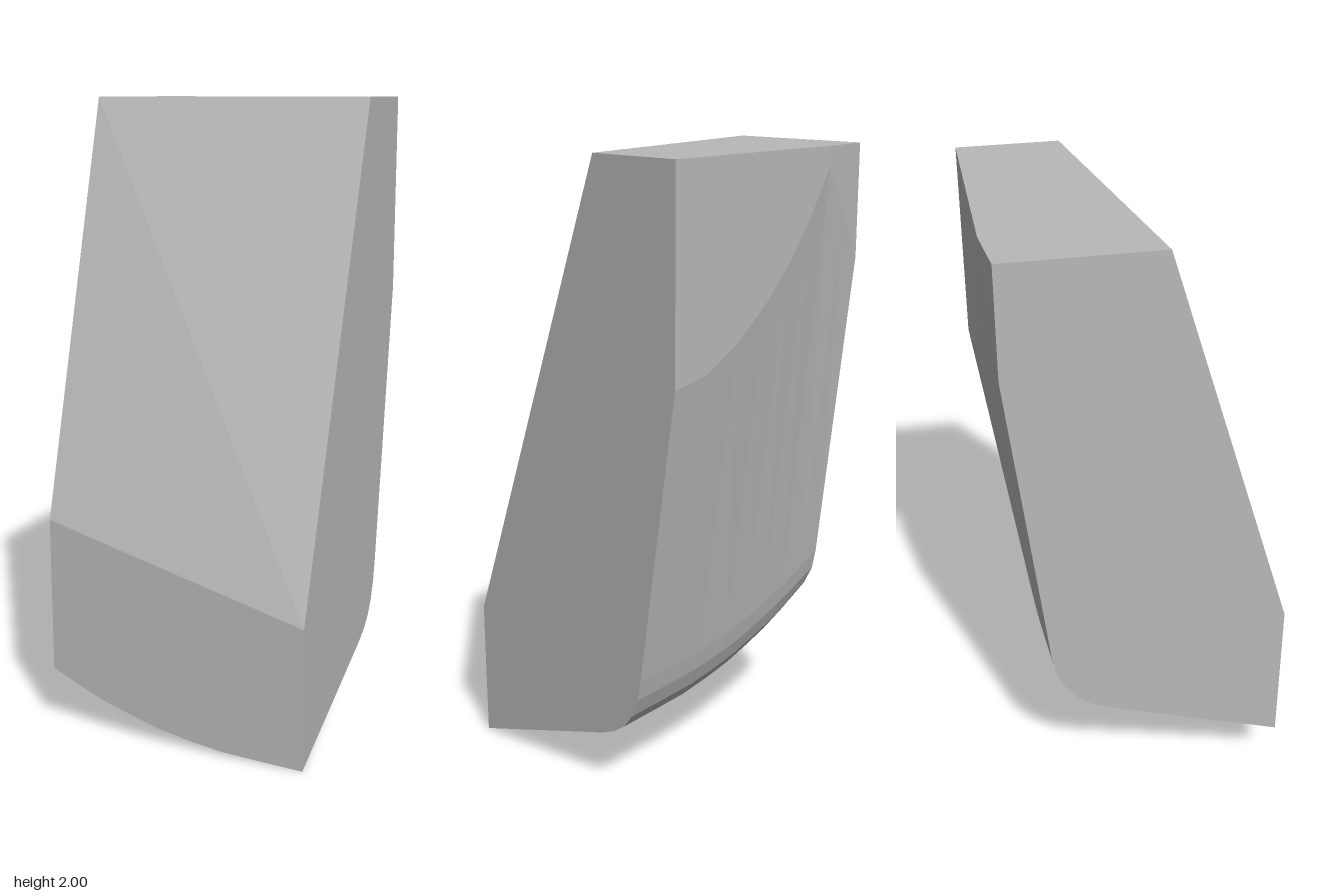
import * as THREE from 'three';

const HALF = 0.425, FRONT = 0.445, TOP = 2;

// Each row: x, bottom front y, back lower z, back bend y, back bend z
const SECTIONS = [
  [-0.425, 0.2, -0.305, 1.65, -0.425],
  [-0.34, 0.158, -0.302, 1.8, -0.435],
  [-0.25, 0.118, -0.3, 1.94, -0.445],
  [-0.154, 0.085, -0.3, 1.78, -0.445],
  [-0.06, 0.056, -0.3, 1.66, -0.445],
  [0.034, 0.036, -0.3, 1.565, -0.445],
  [0.16, 0.016, -0.3, 1.465, -0.445],
  [0.3, 0.008, -0.3, 1.39, -0.445],
  [0.425, 0.002, -0.3, 1.37, -0.445],
];

// Closed side outline at one x, counter-clockwise as seen from +x
function outline([x, yb, zLow, yBend, zBend]) {
  const t = (x + HALF) / (2 * HALF);
  const lerp = THREE.MathUtils.lerp;
  const p = (z, y) => new THREE.Vector3(x, y, z);
  return [
    p(FRONT, yb),
    p(-0.13, yb + 0.197), // rounded heel
    p(-0.185, yb + 0.222),
    p(-0.23, yb + 0.255),
    p(-0.265, yb + 0.302),
    p(zLow + 0.01, yb + 0.365),
    p(zLow - 0.003, yb + 0.43),
    p(zBend, yBend), // back bend
    p(zBend, TOP),
    p(lerp(0.05, -0.125, t), TOP), // top front edge
    p(lerp(0.05, FRONT, t), lerp(TOP, 0.46, t)), // diagonal fold of the slope
    p(FRONT, lerp(0.7, 0.46, t)), // lower edge of the slope
  ];
}

// Flat-faced loft through the outlines, closed at both ends
function loft(rings) {
  const pos = [];
  const tri = (a, b, c) => {
    const area = b.clone().sub(a).cross(c.clone().sub(a)).length();
    if (area > 1e-7) pos.push(...a, ...b, ...c);
  };
  const n = rings[0].length;
  for (let i = 0; i < rings.length - 1; i++) {
    const r = rings[i], s = rings[i + 1];
    for (let j = 0; j < n; j++) {
      const k = (j + 1) % n;
      tri(r[j], r[k], s[k]);
      tri(r[j], s[k], s[j]);
    }
  }
  const first = rings[0], last = rings[rings.length - 1];
  for (let j = 1; j < n - 1; j++) {
    tri(first[0], first[j + 1], first[j]);
    tri(last[0], last[j], last[j + 1]);
  }
  const g = new THREE.BufferGeometry();
  g.setAttribute('position', new THREE.Float32BufferAttribute(pos, 3));
  g.computeVertexNormals();
  return g;
}

export function createModel() {
  const group = new THREE.Group();
  group.name = 'wedgeBlock';
  const grey = new THREE.MeshStandardMaterial({ color: 0xb8b8b8, flatShading: true });
  grey.name = 'light grey';
  const body = new THREE.Mesh(loft(SECTIONS.map(outline)), grey);
  body.name = 'body';
  group.add(body);
  return group;
}
